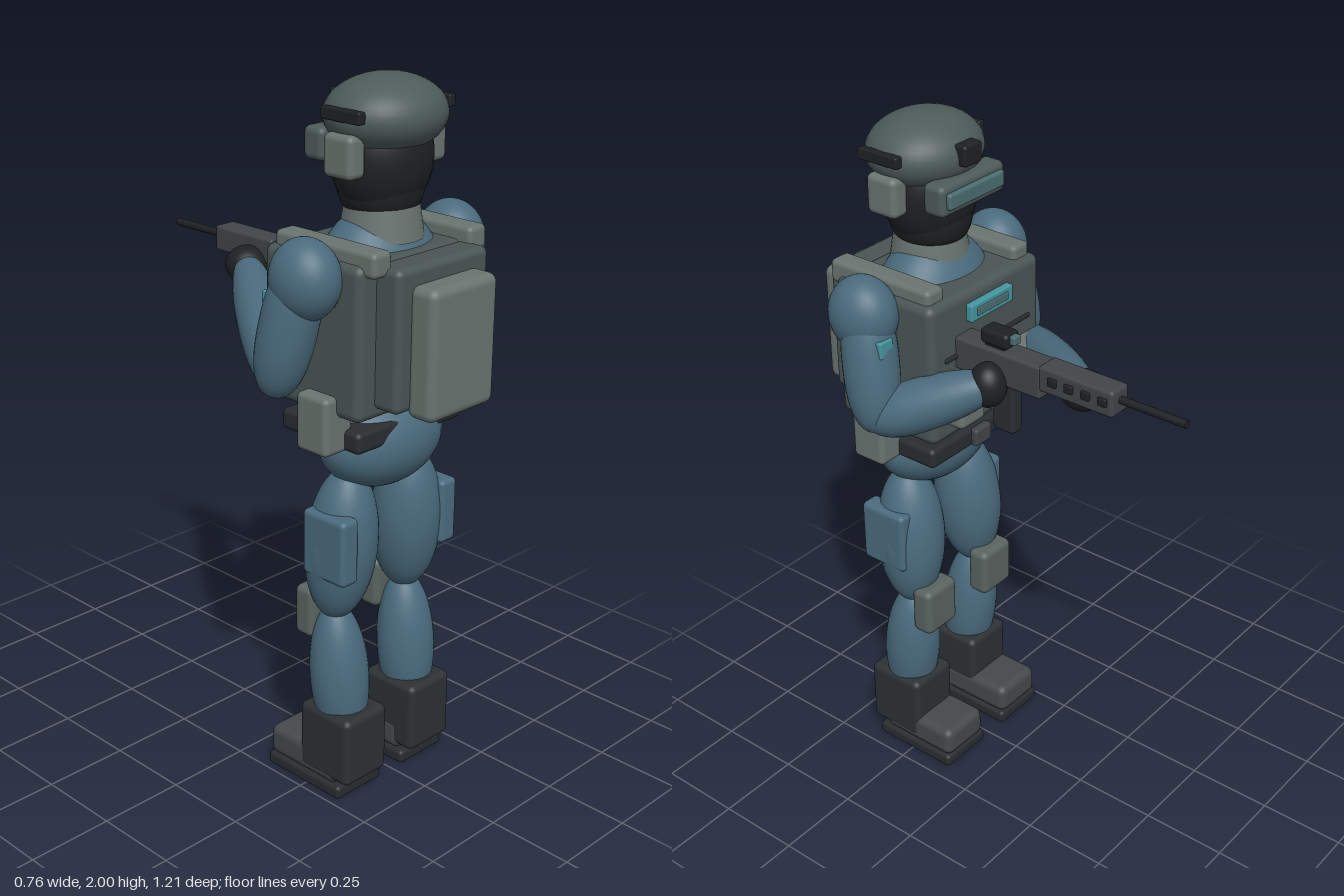
import * as THREE from 'three';
import { RoundedBoxGeometry } from 'three/addons/geometries/RoundedBoxGeometry.js';

const mat = (color) => new THREE.MeshStandardMaterial({ color });
const M = {
  cloth: mat(0x4a6b7d), vest: mat(0x4a5654), pouch: mat(0x69746f), helmet: mat(0x4d5b59),
  dark: mat(0x292d30), black: mat(0x1e2123), metal: mat(0x424649), teal: mat(0x4596a0),
  lens: mat(0x4a6e70), boot: mat(0x2d3134), shoe: mat(0x45494b), knee: mat(0x59635f),
};
const V = (x, y, z) => new THREE.Vector3(x, y, z);

export function createModel() {
  const model = new THREE.Group();
  model.name = 'soldier';
  const body = new THREE.Group();
  body.name = 'body';
  body.position.x = -0.012;
  const rifle = new THREE.Group();
  rifle.name = 'rifle';
  rifle.position.x = 0.085;
  model.add(body, rifle);

  const add = (parent, name, geometry, material) => {
    const mesh = new THREE.Mesh(geometry, material);
    mesh.name = name;
    parent.add(mesh);
    return mesh;
  };
  // Rounded box given by its extents on each axis
  const box = (parent, name, m, [x0, x1], [y0, y1], [z0, z1], r = 0.015) => {
    const w = x1 - x0, h = y1 - y0, d = z1 - z0;
    const g = new RoundedBoxGeometry(w, h, d, 3, Math.min(r, 0.4 * Math.min(w, h, d)));
    const mesh = add(parent, name, g, m);
    mesh.position.set((x0 + x1) / 2, (y0 + y1) / 2, (z0 + z1) / 2);
    return mesh;
  };
  const ball = (parent, name, m, c, [rx, ry, rz]) => {
    const mesh = add(parent, name, new THREE.SphereGeometry(1, 36, 24).scale(rx, ry, rz), m);
    mesh.position.set(...c);
    return mesh;
  };
  // Round limb from a to b; power 2 is an ellipsoid, higher is blunter; taper thins the b end
  const limb = (parent, name, m, a, b, r, power = 2, taper = 0) => {
    const half = a.distanceTo(b) / 2, pts = [];
    for (let i = 0; i <= 24; i++) {
      const t = -Math.cos(Math.PI * i / 24);
      const k = Math.pow(Math.max(0, 1 - Math.pow(Math.abs(t), power)), 1 / power);
      pts.push(new THREE.Vector2(r * k * (1 - taper * t), t * half));
    }
    const mesh = add(parent, name, new THREE.LatheGeometry(pts, 32), m);
    mesh.position.copy(a).add(b).multiplyScalar(0.5);
    mesh.quaternion.setFromUnitVectors(V(0, 1, 0), b.clone().sub(a).normalize());
    return mesh;
  };
  const mid = (w, c = 0) => [c - w / 2, c + w / 2];

  // Legs, boots and the gear on both sides
  for (const s of [-1, 1]) {
    const side = s > 0 ? 'left' : 'right';
    const leg = new THREE.Group();
    leg.name = side + 'Leg';
    body.add(leg);
    box(leg, 'sole', M.dark, mid(0.175, s * 0.131), [0, 0.04], [0.10, 0.38], 0.012);
    box(leg, 'bootToe', M.shoe, mid(0.165, s * 0.131), [0.035, 0.127], [0.10, 0.36], 0.025);
    box(leg, 'bootShaft', M.boot, mid(0.165, s * 0.133), [0.05, 0.257], [0.222, 0.41], 0.02);
    limb(leg, 'shin', M.cloth, V(s * 0.133, 0.13, 0.32), V(s * 0.14, 0.56, 0.285), 0.083);
    limb(leg, 'thigh', M.cloth, V(s * 0.142, 0.52, 0.285), V(s * 0.118, 0.965, 0.313), 0.1);
    box(leg, 'kneePad', M.knee, mid(0.13, s * 0.13), [0.45, 0.6], [0.18, 0.25], 0.02);
    box(leg, 'thighPocket', M.cloth, mid(0.063, s * 0.197), [0.67, 0.86], [0.245, 0.4]);
    box(body, side + 'HipPouch', M.pouch, mid(0.1, s * 0.222), [1.05, 1.21], [0.265, 0.375]);

    // Shoulder, shoulder patch, vest strap
    ball(body, side + 'Shoulder', M.cloth, [s * 0.276, 1.517, 0.304], [0.087, 0.108, 0.1]);
    box(body, side + 'ShoulderPatch', M.teal, mid(0.05, s * 0.302), [1.43, 1.478], [0.2, 0.225], 0.005);
    box(body, side + 'ShoulderStrap', M.pouch, mid(0.068, s * 0.18), [1.535, 1.602], [0.13, 0.48]);
    limb(body, side + 'UpperArm', M.cloth, V(s * 0.318, 1.2, 0.232), V(s * 0.275, 1.58, 0.3), 0.077, 2.5);

    // Ear cup and helmet rail
    box(body, side + 'EarCup', M.pouch, mid(0.06, s * 0.152), [1.755, 1.867], [0.265, 0.365], 0.018);
    box(body, side + 'HelmetRail', M.black, mid(0.025, s * 0.167), [1.898, 1.93], [0.255, 0.39], 0.005);
  }

  // Forearms and gloves reach to the rifle
  limb(body, 'leftForearm', M.cloth, V(0.325, 1.225, 0.265), V(0.14, 1.375, -0.05), 0.072, 2.3, 0.18);
  limb(body, 'rightForearm', M.cloth, V(-0.32, 1.225, 0.265), V(0.055, 1.385, -0.27), 0.07, 2.3, 0.12);
  ball(body, 'leftGlove', M.black, [0.152, 1.358, -0.017], [0.052, 0.064, 0.053]);
  ball(body, 'rightGlove', M.black, [0.042, 1.375, -0.25], [0.062, 0.055, 0.062]);

  // Trunk and belt
  ball(body, 'pelvis', M.cloth, [0, 1.03, 0.315], [0.2, 0.138, 0.135]);
  ball(body, 'torso', M.cloth, [0, 1.36, 0.295], [0.22, 0.305, 0.165]);
  box(body, 'belt', M.dark, mid(0.405), [1.052, 1.112], [0.14, 0.425], 0.015);
  box(body, 'buckle', M.metal, mid(0.07), [1.055, 1.108], [0.122, 0.15], 0.008);

  // Vest with chest details
  box(body, 'vest', M.vest, mid(0.465), [1.15, 1.565], [0.107, 0.45], 0.025);
  box(body, 'chestPlate', M.teal, mid(0.175), [1.48, 1.53], [0.087, 0.115], 0.005);
  box(body, 'chestPlateInset', M.lens, mid(0.13), [1.493, 1.517], [0.084, 0.1], 0.003);
  box(body, 'webbing', M.dark, mid(0.36), [1.39, 1.402], [0.1, 0.115], 0.003);
  for (const x of [-0.137, 0, 0.137]) {
    box(body, 'magazinePouch', M.pouch, mid(0.105, x), [1.205, 1.345], [0.043, 0.125], 0.018);
    box(body, 'pouchSnap', M.dark, mid(0.02, x), [1.285, 1.305], [0.033, 0.05], 0.003);
  }

  // Backpack in two layers
  box(body, 'packBase', M.vest, mid(0.343), [1.18, 1.56], [0.43, 0.525], 0.02);
  box(body, 'packPocket', M.pouch, mid(0.25), [1.163, 1.515], [0.51, 0.6], 0.025);

  // Neck, head and helmet
  const collar = add(body, 'collar', new THREE.CylinderGeometry(0.098, 0.112, 0.09, 36), M.pouch);
  collar.position.set(0, 1.625, 0.305);
  ball(body, 'head', M.black, [0, 1.79, 0.302], [0.14, 0.165, 0.128]);
  limb(body, 'jaw', M.black, V(0, 1.635, 0.3), V(0, 1.86, 0.3), 0.118, 4, -0.08);
  ball(body, 'helmet', M.helmet, [0, 1.897, 0.313], [0.171, 0.102, 0.15]);
  box(body, 'helmetMount', M.black, mid(0.07), [1.885, 1.943], [0.145, 0.185], 0.008);
  box(body, 'goggles', M.helmet, mid(0.26), [1.772, 1.86], [0.145, 0.215], 0.018);
  box(body, 'goggleLens', M.lens, mid(0.225), [1.795, 1.84], [0.132, 0.155], 0.008);

  // Rifle
  box(rifle, 'receiver', M.metal, mid(0.074), [1.357, 1.452], [-0.175, 0.12], 0.008);
  box(rifle, 'handguard', M.metal, mid(0.072), [1.382, 1.457], [-0.405, -0.168], 0.01);
  const barrel = add(rifle, 'barrel', new THREE.CylinderGeometry(0.011, 0.011, 0.22, 20), M.black);
  barrel.rotation.x = Math.PI / 2;
  barrel.position.set(-0.002, 1.423, -0.495);
  for (let i = 0; i < 4; i++) {
    box(rifle, 'vent', M.black, mid(0.012, 0.038), [1.412, 1.435], mid(0.027, -0.375 + i * 0.053), 0.003);
  }
  box(rifle, 'magazine', M.dark, mid(0.045), [1.205, 1.37], [-0.075, -0.003], 0.012);
  box(rifle, 'grip', M.dark, mid(0.045), [1.29, 1.37], [0, 0.045], 0.012);
  box(rifle, 'sight', M.black, mid(0.058), [1.458, 1.502], [-0.06, 0.032], 0.012);
  box(rifle, 'sightBase', M.black, mid(0.04), [1.445, 1.465], [-0.045, 0.02], 0.004);
  box(rifle, 'sightLens', M.lens, mid(0.028), [1.472, 1.497], [-0.075, -0.055], 0.004);

  return model;
}
